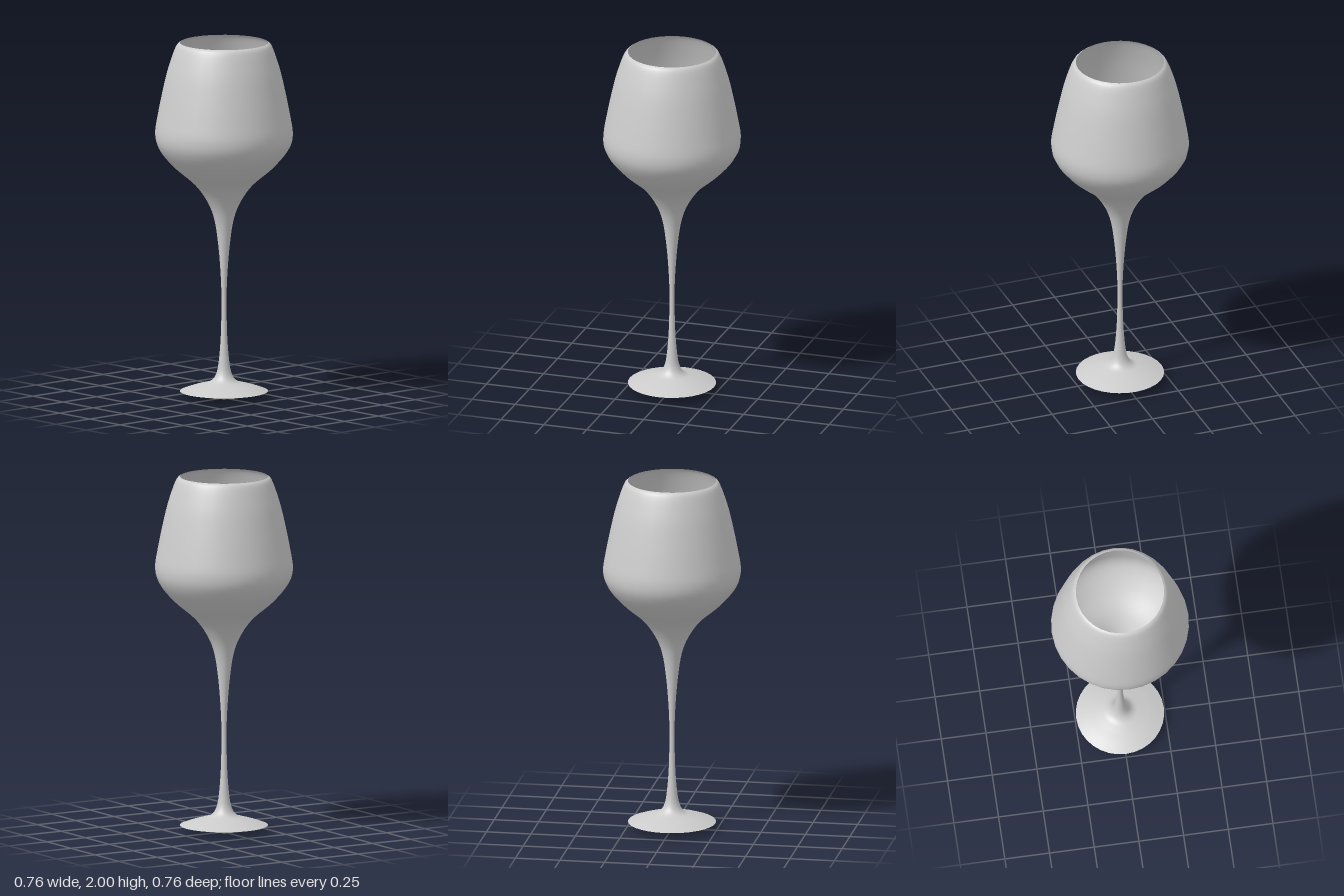
import * as THREE from 'three';

const SEGMENTS = 32;

// Turn a smooth spline through [radius, height] pairs into a surface of revolution
function turned(name, pairs, divisions, material) {
  const curve = new THREE.SplineCurve(pairs.map(([r, y]) => new THREE.Vector2(r, y)));
  const points = curve.getPoints(divisions);
  points.forEach((p) => { p.x = Math.max(p.x, 0); });
  const mesh = new THREE.Mesh(new THREE.LatheGeometry(points, SEGMENTS), material);
  mesh.name = name;
  return mesh;
}

export function createModel() {
  const group = new THREE.Group();
  group.name = 'wineGlass';
  const material = new THREE.MeshStandardMaterial({ color: 0xcccccc, side: THREE.DoubleSide });

  // Thin-walled bowl flowing into the hollow stem and the top of the foot
  const profile = [
    [0.245, 0.04], [0.18, 0.063], [0.12, 0.08], [0.075, 0.095], [0.046, 0.13],
    [0.03, 0.2], [0.018, 0.35], [0.014, 0.55], [0.019, 0.7], [0.032, 0.86],
    [0.053, 1.0], [0.09, 1.1], [0.16, 1.2], [0.275, 1.3], [0.355, 1.395],
    [0.382, 1.48], [0.366, 1.6], [0.324, 1.8], [0.292, 1.91], [0.265, 1.98], [0.245, 2.0],
  ];
  group.add(turned('bowlStemAndFootTop', profile, 100, material));

  // Shallow convex underside of the foot, meeting the top at a sharp edge
  const underside = [[0, 0.0], [0.05, 0.003], [0.1, 0.01], [0.17, 0.025], [0.245, 0.04]];
  group.add(turned('footUnderside', underside, 16, material));

  return group;
}
